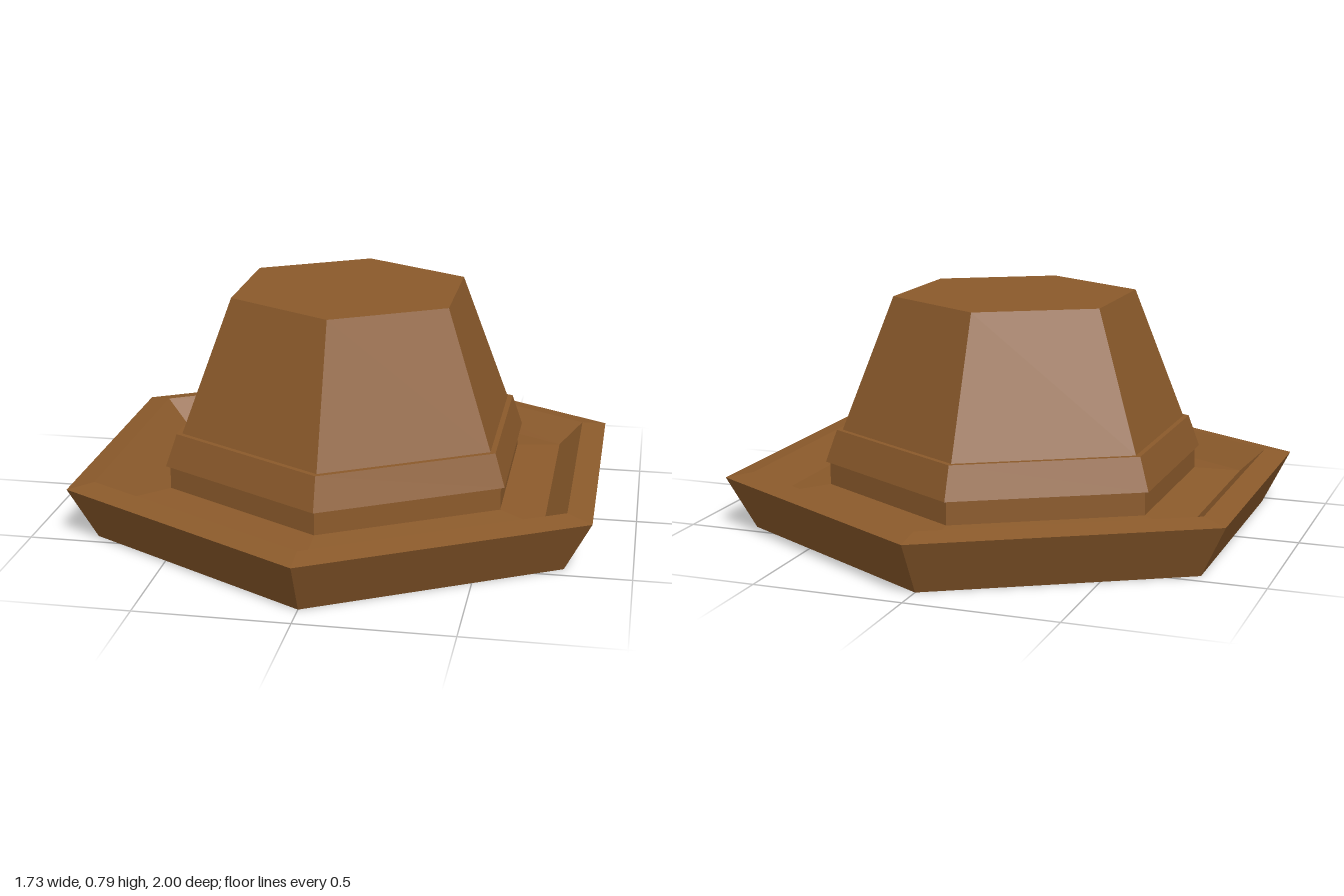
import * as THREE from 'three';

const SIDES = 6;
const felt = new THREE.MeshStandardMaterial({ color: 0x8b5a2b, flatShading: true });

// Six-sided ring swept from a [radius, height] profile, corners on +z and -z
function hexPart(name, profile) {
  const points = profile.map(([r, y]) => new THREE.Vector2(r, y));
  const geometry = new THREE.LatheGeometry(points, SIDES).toNonIndexed();
  geometry.computeVertexNormals();
  const mesh = new THREE.Mesh(geometry, felt);
  mesh.name = name;
  return mesh;
}

export function createModel() {
  const hat = new THREE.Group();
  hat.name = 'hat';

  // Upturned brim: underside, flared edge, rim, inner slope and gutter
  hat.add(hexPart('brim', [
    [0.64, 0.025], [0.9, 0], [1, 0.18], [0.905, 0.195], [0.815, 0.12], [0.645, 0.14],
  ]));

  // Band: short upright foot with a tapered strip overhanging it
  hat.add(hexPart('band', [
    [0.645, 0.14], [0.645, 0.22], [0.66, 0.22], [0.62, 0.33], [0.6, 0.33],
  ]));

  // Tapered crown with a flat top
  hat.add(hexPart('crown', [[0.6, 0.33], [0.42, 0.785], [0, 0.785]]));

  // Hollow inside, open at the bottom
  hat.add(hexPart('crownLining', [[0, 0.755], [0.4, 0.755], [0.64, 0.025]]));

  return hat;
}
